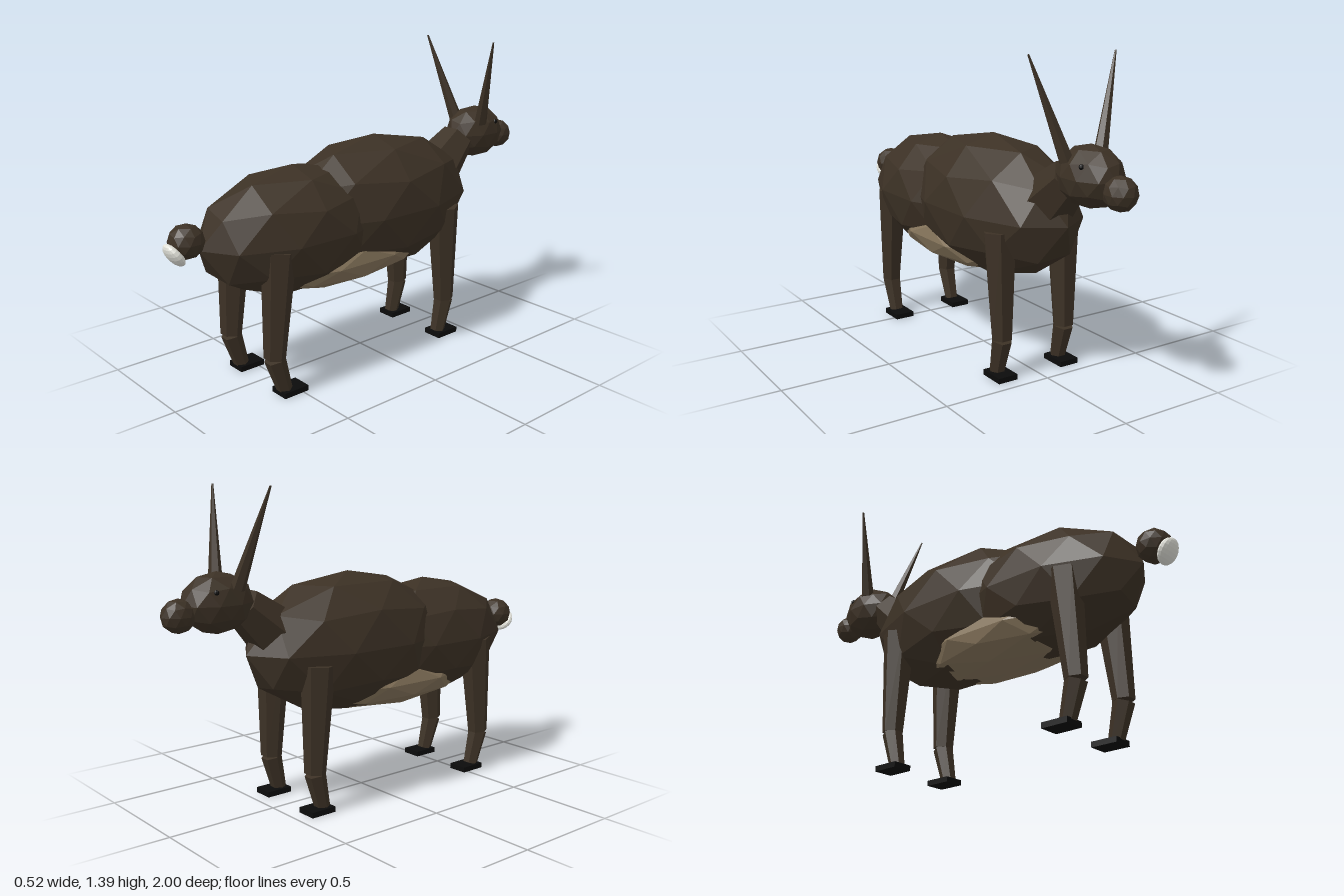
import * as THREE from 'three';

const mat = (name, color) => {
  const m = new THREE.MeshStandardMaterial({ color, flatShading: true });
  m.name = name;
  return m;
};

export function createModel() {
  const model = new THREE.Group();
  model.name = 'hornedAnimal';

  const brown = mat('darkBrownFur', 0x3c3125);
  const tan = mat('tanBelly', 0x84735a);
  const white = mat('whiteTailTip', 0xe2e2da);
  const black = mat('blackHoof', 0x0b0b0b);

  const add = (name, geometry, material, parent = model) => {
    const mesh = new THREE.Mesh(geometry, material);
    mesh.name = name;
    parent.add(mesh);
    return mesh;
  };

  // Faceted ellipsoid with a five-sided pole pointing up
  const blob = (name, [x, y, z], [rx, ry, rz], material) => {
    const g = new THREE.IcosahedronGeometry(1, 1);
    g.rotateZ(-Math.atan2(1, (1 + Math.sqrt(5)) / 2));
    g.scale(rx, ry, rz);
    return add(name, g, material).position.set(x, y, z);
  };

  // Six-sided tapered limb running from point a to point b
  const limb = (name, a, b, ra, rb, parent = model) => {
    const from = new THREE.Vector3(...a), to = new THREE.Vector3(...b);
    const dir = to.clone().sub(from);
    const g = new THREE.CylinderGeometry(rb, ra, dir.length(), 6);
    g.rotateY(Math.PI / 6);
    const mesh = add(name, g, brown, parent);
    mesh.quaternion.setFromUnitVectors(new THREE.Vector3(0, 1, 0), dir.normalize());
    mesh.position.copy(from).add(to).multiplyScalar(0.5);
    return mesh;
  };

  // Body
  blob('chest', [0, 0.69, -0.08], [0.273, 0.315, 0.54], brown);
  blob('rump', [0, 0.66, 0.38], [0.26, 0.28, 0.47], brown);
  blob('belly', [0, 0.5, 0.14], [0.23, 0.13, 0.5], tan);

  // Neck and head
  limb('neck', [0, 0.755, -0.46], [0, 0.905, -0.635], 0.13, 0.085);
  blob('head', [0, 0.924, -0.75], [0.116, 0.127, 0.16], brown);
  blob('muzzle', [0, 0.888, -0.925], [0.065, 0.07, 0.073], brown);

  // Tail with a flattened pale tip
  blob('tail', [0, 0.714, 0.905], [0.076, 0.073, 0.075], brown);
  const tip = add('tailTip', new THREE.SphereGeometry(1, 16, 10), white);
  tip.scale.set(0.057, 0.057, 0.026);
  tip.rotation.x = 0.6;
  tip.position.set(0, 0.67, 0.962);

  // Mirrored parts
  for (const s of [1, -1]) {
    limb('horn', [s * 0.083, 0.985, -0.705], [s * 0.212, 1.387, -0.628], 0.031, 0.004);

    const eye = add('eye', new THREE.SphereGeometry(0.011, 8, 6), black);
    eye.position.set(s * 0.09, 0.978, -0.805);

    // Hip, ankle, foot and hoof-centre depths for each leg
    const legs = [
      ['hindLeg', 0.577, 0.612, 0.565, 0.535],
      ['foreLeg', -0.372, -0.392, -0.355, -0.381],
    ];
    for (const [name, hip, ankle, foot, hoofZ] of legs) {
      const leg = new THREE.Group();
      leg.name = name;
      model.add(leg);
      const x = s * 0.163;
      limb('upperLeg', [x, 0.645, hip], [x, 0.178, ankle], 0.075, 0.047, leg);
      limb('lowerLeg', [x, 0.175, ankle], [x, 0.02, foot], 0.046, 0.034, leg);
      const hoof = add('hoof', new THREE.BoxGeometry(0.093, 0.024, 0.122), black, leg);
      hoof.position.set(x, 0.012, hoofZ);
    }
  }

  return model;
}
